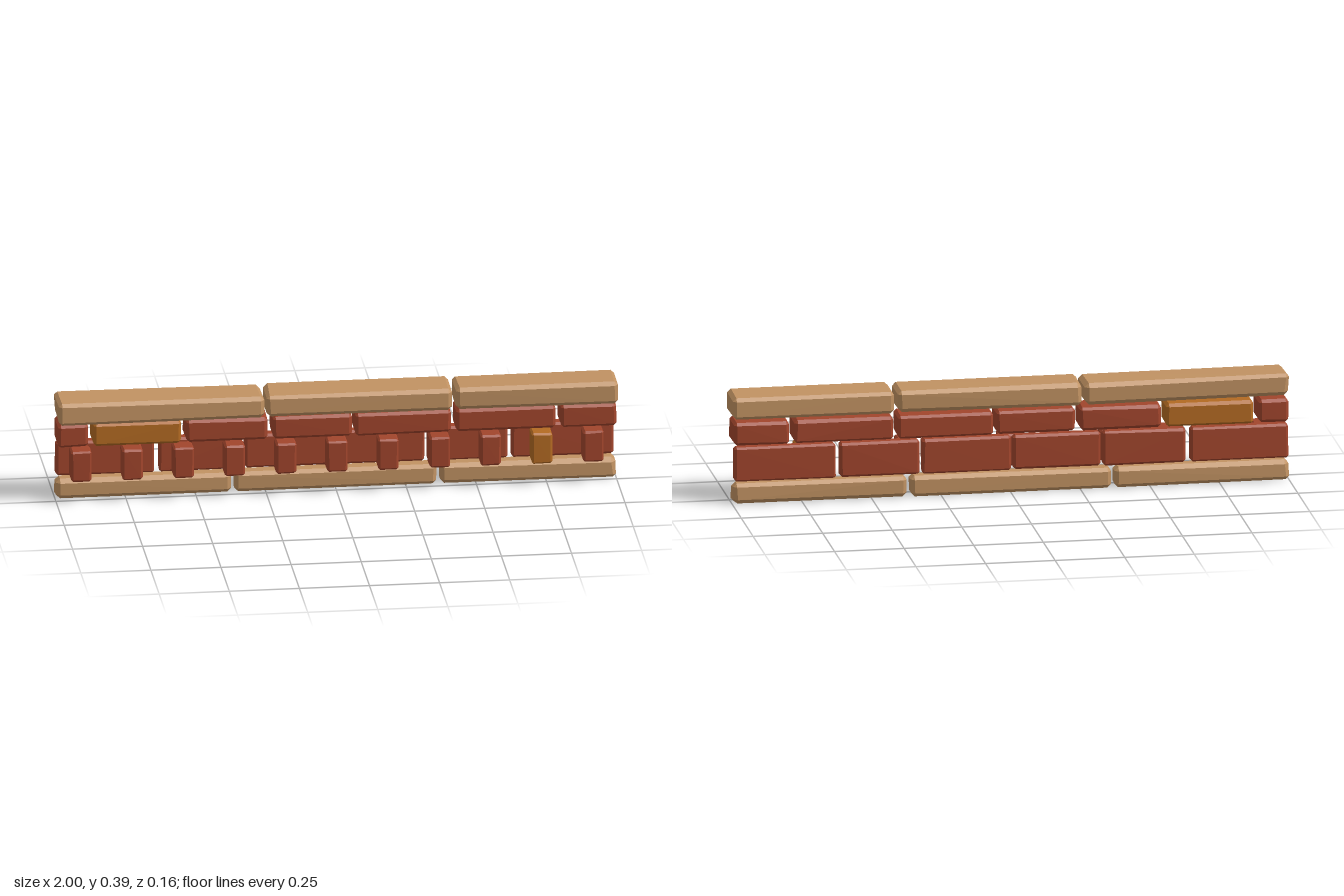
import * as THREE from 'three';
import { ConvexGeometry } from 'three/addons/geometries/ConvexGeometry.js';

const mat = (name, color) => {
  const m = new THREE.MeshStandardMaterial({ color });
  m.name = name;
  return m;
};

export function createModel() {
  const sandstone = mat('sandstone', 0xc19262);
  const redBrick = mat('redBrick', 0xa1452c);
  const ochreBrick = mat('ochreBrick', 0xb36a22);

  // Small seeded generator for hand-cut irregularity
  let seed = 7;
  const rand = () => (seed = (seed * 16807) % 2147483647) / 2147483647;

  // Chamfered block whose corners are pulled slightly inwards
  function block(name, material, [x0, x1], [y0, y1], [z0, z1], chamfer, wobble) {
    const half = [(x1 - x0) / 2, (y1 - y0) / 2, (z1 - z0) / 2];
    const points = [];
    for (const sx of [-1, 1]) for (const sy of [-1, 1]) for (const sz of [-1, 1]) {
      const signs = [sx, sy, sz];
      const corner = half.map((h) => h - rand() * wobble);
      const c = chamfer * (0.8 + 0.4 * rand());
      for (let axis = 0; axis < 3; axis++) {
        const p = corner.map((h, i) => signs[i] * (i === axis ? h : h - c));
        points.push(new THREE.Vector3(...p));
      }
    }
    const mesh = new THREE.Mesh(new ConvexGeometry(points), material);
    mesh.position.set((x0 + x1) / 2, (y0 + y1) / 2, (z0 + z1) / 2);
    mesh.name = name;
    return mesh;
  }

  // Row of blocks; spans are start/end pairs along x
  function course(name, material, spans, y, z, chamfer, wobble, ochreIndex = -1) {
    const group = new THREE.Group();
    group.name = name;
    spans.forEach((x, i) => group.add(block(`${name}Block${i + 1}`,
      i === ochreIndex ? ochreBrick : material, x, y, z, chamfer, wobble)));
    return group;
  }

  const model = new THREE.Group();
  model.name = 'brickCornice';

  // Stone sill at the bottom and overhanging coping on top
  model.add(course('baseStone', sandstone,
    [[-1, -0.37], [-0.362, 0.361], [0.371, 1]], [0, 0.077], [-0.078, -0.01], 0.014, 0.003));
  model.add(course('copingStone', sandstone,
    [[-1, -0.263], [-0.256, 0.409], [0.417, 1]], [0.307, 0.391], [-0.078, 0.078], 0.013, 0.004));

  // Tall brick course at the back
  model.add(course('backBrick', redBrick,
    [[-0.997, -0.645], [-0.629, -0.33], [-0.323, -0.006], [0, 0.32], [0.328, 0.616], [0.628, 0.995]],
    [0.083, 0.21], [-0.078, -0.03], 0.008, 0.002));

  // Flat brick course under the coping
  model.add(course('upperBrick', redBrick,
    [[-0.997, -0.888], [-0.871, -0.557], [-0.541, -0.248], [-0.231, 0.052], [0.064, 0.406],
      [0.422, 0.779], [0.796, 0.995]],
    [0.215, 0.3], [-0.078, 0.046], 0.01, 0.002, 1));

  // Evenly spaced projecting dentils
  const dentils = Array.from({ length: 11 }, (_, i) => {
    const x = -0.914 + i * 0.1825;
    return [x - 0.037, x + 0.037];
  });
  model.add(course('dentil', redBrick, dentils, [0.085, 0.201], [-0.027, 0.052], 0.007, 0.0015, 9));

  return model;
}
